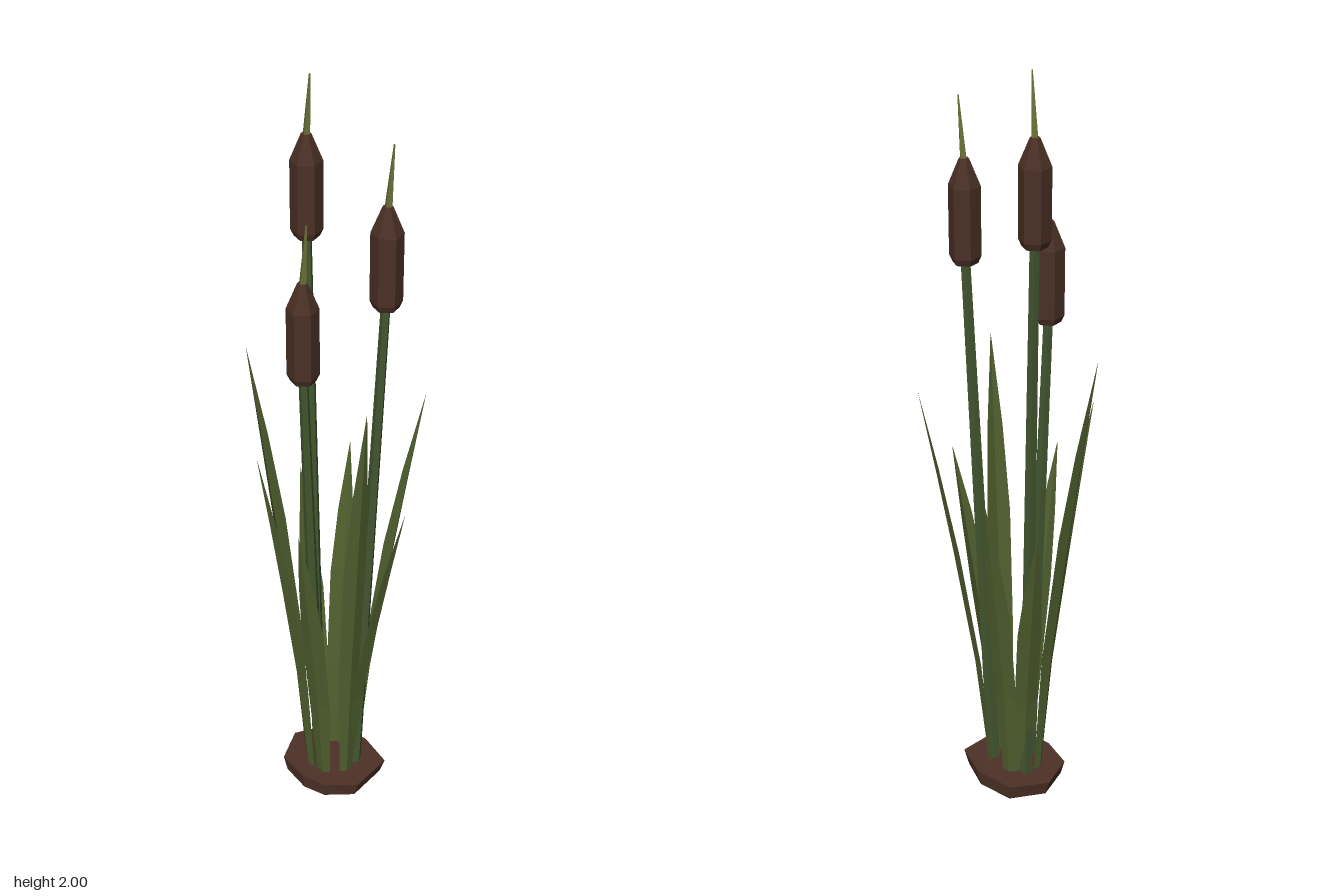
import * as THREE from 'three';

const mat = (color, side = THREE.FrontSide) =>
  new THREE.MeshStandardMaterial({ color, flatShading: true, roughness: 0.9, side });

const V = (x, y, z) => new THREE.Vector3(x, y, z);

export function createModel() {
  const root = new THREE.Group();
  root.name = 'cattailPlant';
  const soil = mat(0x4d3126);
  const stemMat = mat(0x42562f);
  const headMat = mat(0x4a3025);
  const tipMat = mat(0x6b7038);
  const leafMat = mat(0x505f2e, THREE.DoubleSide);

  const add = (parent, name, geometry, material) => {
    const mesh = new THREE.Mesh(geometry, material);
    mesh.name = name;
    parent.add(mesh);
    return mesh;
  };

  // Tapered low-poly rod between two points
  const rod = (parent, name, a, b, r0, r1, sides, material) => {
    const mesh = add(parent, name, new THREE.CylinderGeometry(r1, r0, a.distanceTo(b), sides), material);
    mesh.position.copy(a).add(b).multiplyScalar(0.5);
    mesh.quaternion.setFromUnitVectors(V(0, 1, 0), b.clone().sub(a).normalize());
    return mesh;
  };

  // Irregular flat patch of soil
  const outline = [[0.05, -0.11], [0.14, -0.06], [0.125, 0.06], [0.05, 0.105],
    [-0.02, 0.105], [-0.103, 0.068], [-0.127, -0.03], [-0.06, -0.11]];
  const patch = new THREE.Shape(outline.map(([x, z]) => new THREE.Vector2(x, -z)));
  const base = new THREE.ExtrudeGeometry(patch, { depth: 0.042, bevelEnabled: false });
  base.rotateX(-Math.PI / 2);
  const p = base.attributes.position;
  for (let i = 0; i < p.count; i++) {
    if (p.getY(i) < 0.02) p.setXYZ(i, p.getX(i) * 0.9, 0, p.getZ(i) * 0.96);
  }
  base.computeVertexNormals();
  add(root, 'soilBase', base, soil);

  // Stalks: foot, bottom of the head, tip of the spike
  const headProfile = [[0, 0], [0.031, 0], [0.039, 0.018], [0.039, 0.195], [0.012, 0.262], [0, 0.264]]
    .map(([r, y]) => new THREE.Vector2(r, y));
  const stalks = [
    [V(-0.045, 0.03, -0.025), V(-0.1, 1.587, -0.066), V(-0.086, 2, -0.06)],
    [V(0.065, 0.03, -0.025), V(0.13, 1.475, -0.04), V(0.141, 1.89, -0.045)],
    [V(-0.004, 0.03, 0.04), V(-0.008, 1.308, 0.105), V(0.003, 1.72, 0.105)],
  ];
  for (const [foot, neck, tip] of stalks) {
    const stalk = new THREE.Group();
    stalk.name = 'stalk';
    root.add(stalk);
    rod(stalk, 'stem', foot, neck.clone().add(V(0, 0.02, 0)), 0.018, 0.012, 5, stemMat);
    const head = add(stalk, 'seedHead', new THREE.LatheGeometry(headProfile, 6), headMat);
    head.position.copy(neck);
    rod(stalk, 'spike', neck.clone().add(V(0, 0.24, 0)), tip, 0.011, 0.002, 4, tipMat);
  }

  // Folded blade: rows of left edge, midrib and right edge, curving outward
  const rows = [[0, 0.018], [0.3, 0.029], [0.6, 0.031], [0.8, 0.02], [1, 0.0005]];
  const blade = (x0, z0, x1, z1, height) => {
    const out = V(x1 - x0, 0, z1 - z0).normalize();
    const side = V(out.z, 0, -out.x);
    const pos = [];
    const index = [];
    rows.forEach(([t, w], i) => {
      const k = Math.pow(t, 1.35);
      const mid = V(x0 + (x1 - x0) * k, 0.03 + (height - 0.03) * t, z0 + (z1 - z0) * k);
      for (const s of [-1, 0, 1]) {
        const v = mid.clone().addScaledVector(side, s * w);
        v.addScaledVector(out, s === 0 ? w * 0.2 : -w * 0.2);
        pos.push(v.x, v.y, v.z);
      }
      if (i === 0) return;
      for (let c = 0; c < 2; c++) {
        const a = (i - 1) * 3 + c;
        index.push(a, a + 1, a + 4, a, a + 4, a + 3);
      }
    });
    const g = new THREE.BufferGeometry();
    g.setAttribute('position', new THREE.Float32BufferAttribute(pos, 3));
    g.setIndex(index);
    g.computeVertexNormals();
    return g;
  };

  // Foot x, z, tip x, z, height
  const leaves = [
    [-0.013, -0.055, -0.055, -0.198, 0.94],
    [0.055, -0.05, 0.17, -0.176, 1.17],
    [0.065, 0, 0.214, -0.002, 0.93],
    [0.068, 0.025, 0.145, 0.07, 1.24],
    [0.018, 0.06, 0.03, 0.195, 0.92],
    [-0.03, 0.05, -0.1, 0.171, 1.09],
    [-0.06, 0.01, -0.215, 0.03, 1.29],
    [-0.04, -0.03, -0.166, -0.135, 0.86],
  ];
  for (const leaf of leaves) add(root, 'leaf', blade(...leaf), leafMat);

  return root;
}
